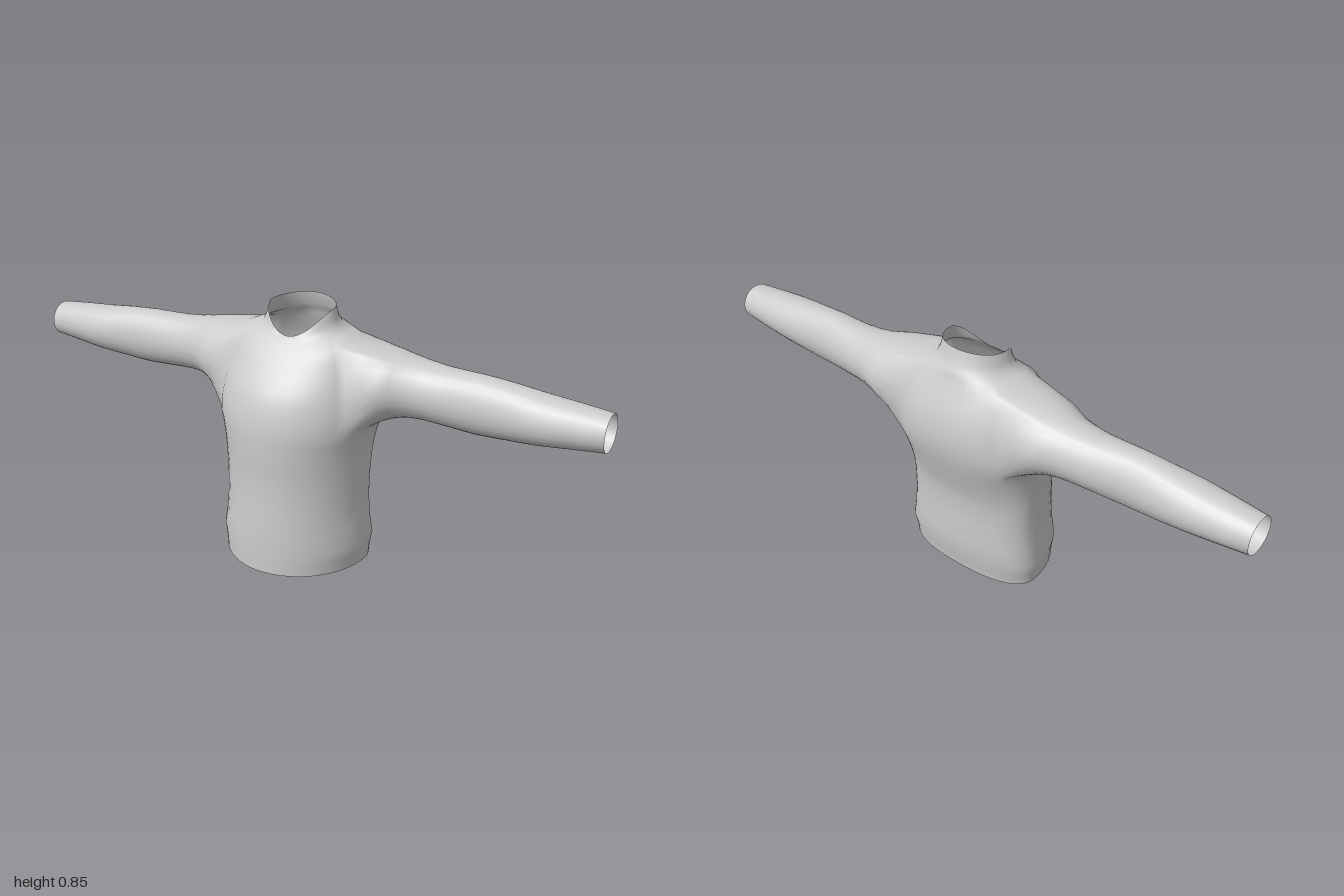
import * as THREE from 'three';

const COLS = 48;             // columns around the torso, column 0 at the left side
const BACK = -6, FRONT = 4;  // columns bounding the armhole
const ROW0 = 9, ROW1 = 15;   // rows bounding the armhole
const ZC = -0.035;

// Torso rings: yFront, ySide, yBack, half width, zFront, zBack, back squareness
const RINGS = [
  [0, 0, 0, 0.245, 0.222, -0.14, 2.4],
  [0.04, 0.04, 0.04, 0.248, 0.222, -0.146, 2.4],
  [0.08, 0.08, 0.08, 0.255, 0.222, -0.157, 2.4],
  [0.14, 0.14, 0.14, 0.243, 0.221, -0.16, 2.4],
  [0.22, 0.22, 0.22, 0.238, 0.215, -0.158, 2.4],
  [0.30, 0.30, 0.30, 0.24, 0.211, -0.159, 2.4],
  [0.36, 0.36, 0.36, 0.242, 0.215, -0.173, 2.4],
  [0.41, 0.41, 0.41, 0.247, 0.217, -0.19, 2.4],
  [0.45, 0.45, 0.45, 0.254, 0.217, -0.201, 2.5],
  [0.49, 0.485, 0.49, 0.264, 0.216, -0.213, 2.6],
  [0.535, 0.53, 0.535, 0.264, 0.208, -0.221, 2.6],
  [0.575, 0.575, 0.58, 0.258, 0.196, -0.222, 2.6],
  [0.61, 0.62, 0.62, 0.25, 0.18, -0.217, 2.6],
  [0.645, 0.665, 0.66, 0.238, 0.154, -0.207, 2.6],
  [0.675, 0.71, 0.70, 0.222, 0.133, -0.19, 2.5],
  [0.705, 0.75, 0.737, 0.2, 0.11, -0.172, 2.4],
  [0.732, 0.766, 0.765, 0.16, 0.082, -0.163, 2.2],
  [0.75, 0.776, 0.785, 0.13, 0.066, -0.156, 2],
  [0.752, 0.803, 0.803, 0.118, 0.06, -0.141, 2],
  [0.755, 0.835, 0.846, 0.11, 0.055, -0.132, 2],
];

// Sleeve sections: x, yTop, yBottom, zFront, zBack
const SECTIONS = [
  [0.31, 0.734, 0.508, 0.072, -0.187],
  [0.38, 0.72, 0.528, 0.035, -0.165],
  [0.48, 0.709, 0.527, 0.02, -0.146],
  [0.6, 0.709, 0.522, 0.018, -0.13],
  [0.7, 0.702, 0.527, 0.021, -0.13],
  [0.8, 0.691, 0.535, 0.028, -0.13],
  [0.9, 0.682, 0.546, 0.02, -0.124],
  [1.0, 0.672, 0.556, 0.01, -0.114],
];

const spow = (v, p) => Math.sign(v) * Math.abs(v) ** p;

function ringPoint([yF, yS, yB, w, zF, zB, n], j) {
  const a = (j / COLS) * Math.PI * 2, c = Math.cos(a), s = Math.sin(a);
  const p = s < 0 ? 2 / n : 1;
  const depth = s < 0 ? ZC - zB : zF - ZC;
  return new THREE.Vector3(
    w * spow(c, p),
    yS + ((s < 0 ? yB : yF) - yS) * s * s,
    ZC + depth * spow(s, p));
}

export function createModel() {
  const points = [];
  const add = (p) => points.push(p) - 1;
  const quad = (list, a, b, c, d) => list.push(a, b, c, a, c, d);

  // Torso and collar, leaving an armhole open on both sides
  const grid = RINGS.map((ring) =>
    Array.from({ length: COLS }, (_, j) => add(ringPoint(ring, j))));
  const at = (r, j) => grid[r][(j + COLS) % COLS];
  const inArmhole = (r, j) => {
    if (r < ROW0 || r >= ROW1) return false;
    const left = j >= COLS / 2 + COLS / 4 ? j - COLS : j;
    const right = COLS / 2 - j - 1;
    return [left, right].some((k) => k >= BACK && k < FRONT);
  };
  const body = [], collar = [];
  for (let r = 0; r < RINGS.length - 1; r++) {
    for (let j = 0; j < COLS; j++) {
      if (inArmhole(r, j)) continue;
      quad(r >= 17 ? collar : body, at(r, j + 1), at(r, j), at(r + 1, j), at(r + 1, j + 1));
    }
  }

  // Sleeve growing out of the armhole's edge
  function sleeve(side) {
    const faces = [];
    const vert = (r, j) => at(r, side > 0 ? j : COLS / 2 - j);
    const loop = [];
    for (let j = BACK; j < FRONT; j++) loop.push(vert(ROW0, j));
    for (let r = ROW0; r < ROW1; r++) loop.push(vert(r, FRONT));
    for (let j = FRONT; j > BACK; j--) loop.push(vert(ROW1, j));
    for (let r = ROW1; r > ROW0; r--) loop.push(vert(r, BACK));

    const steps = SECTIONS.length * 2;
    const strands = loop.map((start) => {
      const p = points[start];
      const angle = Math.atan2(p.y - 0.615, p.z + 0.05);
      const path = [p, ...SECTIONS.map(([x, yT, yB, zF, zB]) => new THREE.Vector3(
        side * x,
        (yT + yB) / 2 + ((yT - yB) / 2) * Math.sin(angle),
        (zF + zB) / 2 + ((zF - zB) / 2) * Math.cos(angle)))];
      const curve = new THREE.CatmullRomCurve3(path);
      const strand = [start];
      for (let i = 1; i <= steps; i++) strand.push(add(curve.getPoint(i / steps)));
      return strand;
    });
    strands.forEach((s, k) => {
      const t = strands[(k + 1) % strands.length];
      for (let i = 0; i < steps; i++) {
        if (side > 0) quad(faces, s[i], s[i + 1], t[i + 1], t[i]);
        else quad(faces, t[i], t[i + 1], s[i + 1], s[i]);
      }
    });
    return faces;
  }
  const parts = { body, collar, leftSleeve: sleeve(1), rightSleeve: sleeve(-1) };

  // Shared positions and normals keep the parts seamless
  const whole = new THREE.BufferGeometry().setFromPoints(points);
  whole.setIndex(Object.values(parts).flat());
  whole.computeVertexNormals();

  const material = new THREE.MeshStandardMaterial({ color: 0xcccccc, side: THREE.DoubleSide });
  const group = new THREE.Group();
  group.name = 'sweater';
  for (const [name, faces] of Object.entries(parts)) {
    const geometry = new THREE.BufferGeometry();
    geometry.setAttribute('position', whole.attributes.position);
    geometry.setAttribute('normal', whole.attributes.normal);
    geometry.setIndex(faces);
    const mesh = new THREE.Mesh(geometry, material);
    mesh.name = name;
    group.add(mesh);
  }
  return group;
}
